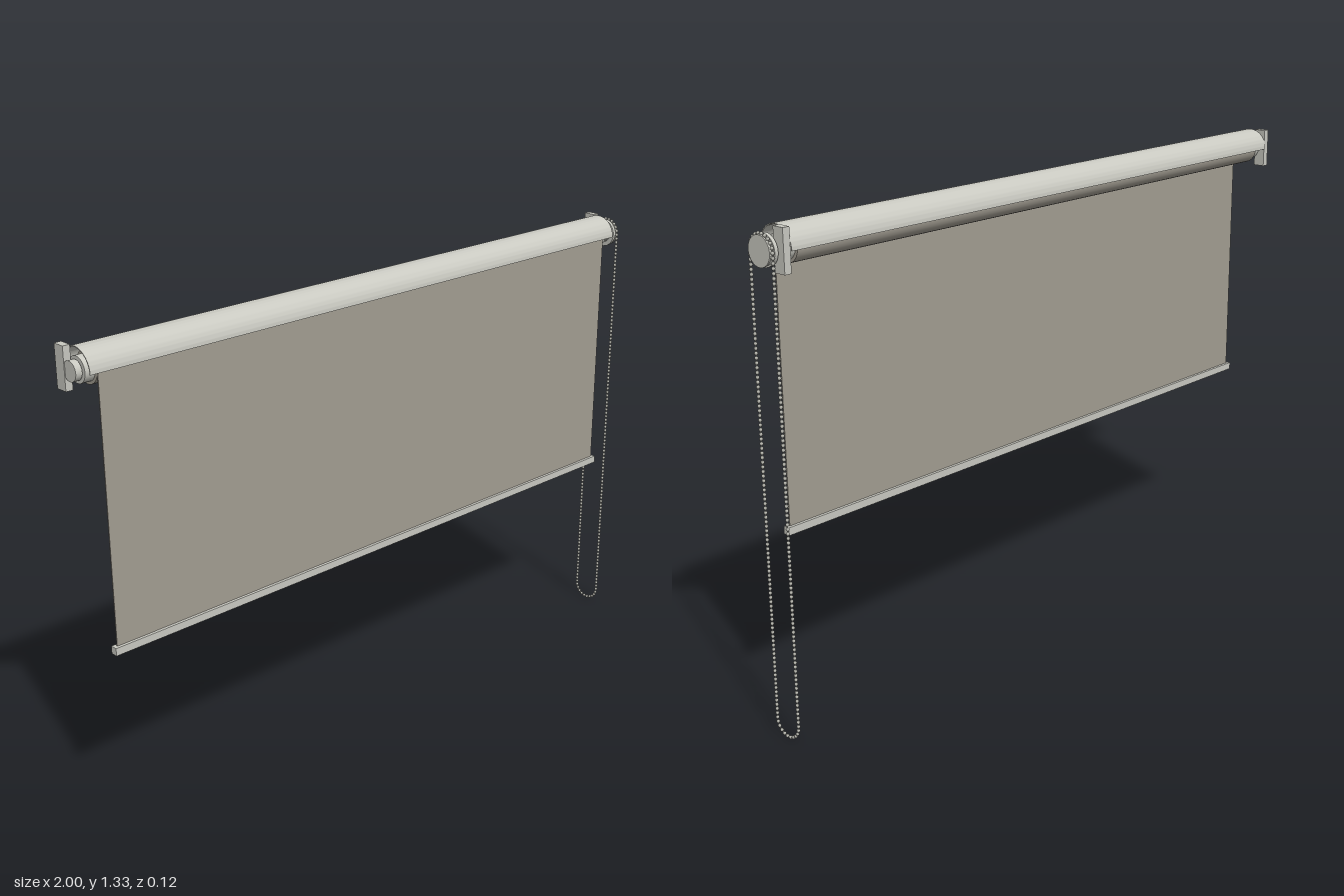
import * as THREE from 'three';
import { mergeGeometries, toCreasedNormals } from 'three/addons/utils/BufferGeometryUtils.js';

const AXIS_Y = 1.27;      // height of the roller axis
const MID_X = -0.015;     // middle of the blind without its chain wheel
const CHAIN_R = 0.041;

export function createModel() {
  const model = new THREE.Group();
  model.name = 'rollerBlind';

  const mat = (name, color, extra = {}) => {
    const m = new THREE.MeshStandardMaterial({ color, ...extra });
    m.name = name;
    return m;
  };
  const plastic = mat('pale grey plastic', 0xc9c9c1);
  const cloth = mat('taupe fabric', 0xa29d92);
  const beadMat = mat('chain grey', 0xb4b4ac);

  const add = (parent, name, geo, material, x = 0, y = 0, z = 0) => {
    const mesh = new THREE.Mesh(geo, material);
    mesh.name = name;
    mesh.position.set(x, y, z);
    parent.add(mesh);
    return mesh;
  };
  const box = (w, h, d) => new THREE.BoxGeometry(w, h, d);
  // Cylinder lying along x
  const rod = (r, length, seg = 40) => new THREE.CylinderGeometry(r, r, length, seg).rotateZ(Math.PI / 2);

  // Half round cover, open underneath
  const arc = new THREE.Shape();
  arc.absarc(0, 0, 0.058, 0, Math.PI, false);
  arc.absarc(0, 0, 0.0555, Math.PI, 0, true);
  arc.closePath();
  const coverLen = 1.93;
  const coverGeo = new THREE.ExtrudeGeometry(arc, { depth: coverLen, bevelEnabled: false, curveSegments: 32 });
  coverGeo.translate(0, 0, -coverLen / 2).rotateY(Math.PI / 2);
  add(model, 'cover', toCreasedNormals(coverGeo, 0.6), plastic, MID_X, AXIS_Y, 0);

  // Rolled cloth, hanging sheet and bottom bar
  const clothLen = 1.87;
  add(model, 'fabricRoll', rod(0.042, clothLen), cloth, MID_X, AXIS_Y, 0);
  add(model, 'fabricSheet', box(clothLen, AXIS_Y - 0.545, 0.003), cloth, MID_X, (AXIS_Y + 0.545) / 2, 0.0425);
  add(model, 'bottomBar', box(1.89, 0.021, 0.02), plastic, MID_X, 0.5405, 0.0425);

  // Wall brackets with roller plugs, mirrored at both ends
  for (const side of [-1, 1]) {
    const bracket = new THREE.Group();
    bracket.name = side > 0 ? 'leftBracket' : 'rightBracket';
    bracket.position.set(MID_X, AXIS_Y, 0);
    add(bracket, 'bracketPlate', box(0.02, 0.112, 0.035), plastic, side * 0.975, 0.002, -0.0355);
    add(bracket, 'bracketArm', box(0.012, 0.036, 0.04), plastic, side * 0.975, 0, -0.005);
    add(bracket, 'bracketBoss', rod(0.026, 0.018, 32), plastic, side * 0.974, 0, 0);
    add(bracket, 'rollerPlug', rod(0.034, 0.03, 32), plastic, side * 0.948, 0, 0);
    model.add(bracket);
  }

  // Chain wheel: two flanges around a groove
  const wheel = new THREE.Group();
  wheel.name = 'chainWheel';
  wheel.position.set(0, AXIS_Y, 0);
  add(wheel, 'wheelHub', rod(0.028, 0.012), plastic, 0.973, 0, 0);
  add(wheel, 'innerFlange', rod(0.041, 0.01), plastic, 0.981, 0, 0);
  add(wheel, 'wheelCore', rod(0.037, 0.014), plastic, 0.99, 0, 0);
  add(wheel, 'outerFlange', rod(0.039, 0.005), plastic, 0.9975, 0, 0);
  model.add(wheel);

  // Bead chain: two straight runs joined by half circles
  const low = CHAIN_R + 0.005;
  const run = AXIS_Y - low;
  const turn = Math.PI * CHAIN_R;
  const total = 2 * (run + turn);
  const chainPoint = (d) => {
    if (d < run) return [low + d, CHAIN_R];
    d -= run;
    if (d < turn) {
      const a = d / CHAIN_R;
      return [AXIS_Y + CHAIN_R * Math.sin(a), CHAIN_R * Math.cos(a)];
    }
    d -= turn;
    if (d < run) return [AXIS_Y - d, -CHAIN_R];
    const a = (d - run) / CHAIN_R;
    return [low - CHAIN_R * Math.sin(a), -CHAIN_R * Math.cos(a)];
  };
  const count = 226;
  const beads = [];
  const path = [];
  for (let i = 0; i < count; i++) {
    const [y, z] = chainPoint((i / count) * total);
    beads.push(new THREE.SphereGeometry(0.0048, 8, 6).translate(0.993, y, z));
    path.push(new THREE.Vector3(0.993, y, z));
  }
  const cord = new THREE.CatmullRomCurve3(path, true);
  const chain = new THREE.Group();
  chain.name = 'chain';
  add(chain, 'chainBeads', mergeGeometries(beads), beadMat);
  add(chain, 'chainCord', new THREE.TubeGeometry(cord, 450, 0.0016, 5, true), beadMat);
  model.add(chain);

  return model;
}
